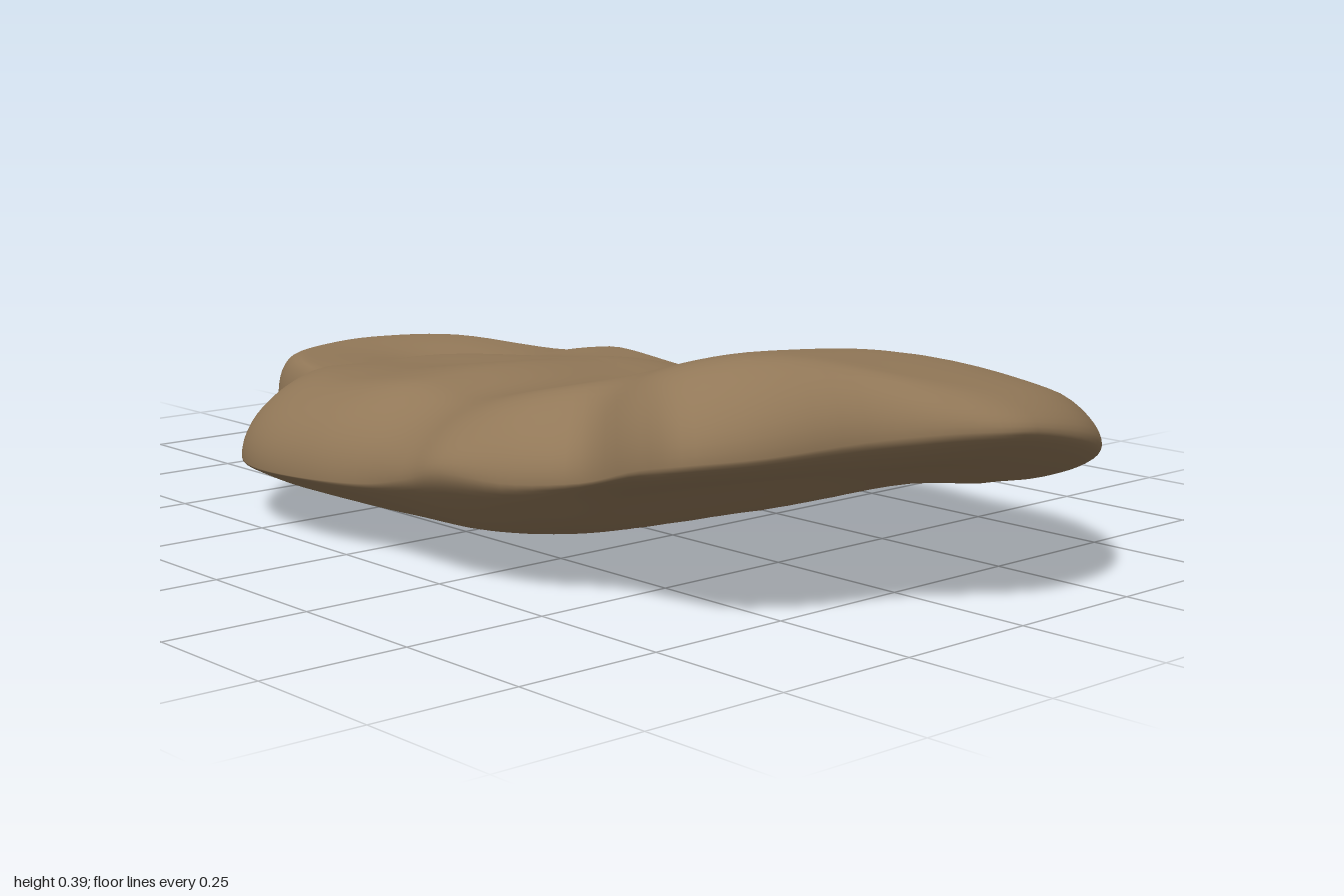
import * as THREE from 'three';
import { mergeVertices } from 'three/addons/utils/BufferGeometryUtils.js';

const V = (x, y, z) => new THREE.Vector3(x, y, z);
const { smoothstep } = THREE.MathUtils;

// smooth interpolation through [position, value] pairs
function ramp(points, x) {
  if (x <= points[0][0]) return points[0][1];
  for (let i = 1; i < points.length; i++) {
    const [x0, v0] = points[i - 1], [x1, v1] = points[i];
    if (x <= x1) {
      const t = (x - x0) / (x1 - x0);
      const slope = (a, b) => (b[1] - a[1]) / (b[0] - a[0]);
      const m0 = i > 1 ? slope(points[i - 2], points[i]) : slope(points[0], points[1]);
      const m1 = i < points.length - 1 ? slope(points[i - 1], points[i + 1]) : slope(points[i - 1], points[i]);
      const d = x1 - x0, t2 = t * t, t3 = t2 * t;
      return (2 * t3 - 3 * t2 + 1) * v0 + (t3 - 2 * t2 + t) * d * m0 + (3 * t2 - 2 * t3) * v1 + (t3 - t2) * d * m1;
    }
  }
  return points[points.length - 1][1];
}
const bump = (x, z, cx, cz, rx, rz) => Math.exp(-(((x - cx) / rx) ** 2) - ((z - cz) / rz) ** 2);

// rim of the slab: x, height, z
const RIM = [
  [1, 0.29, -0.02], [0.98, 0.26, -0.16], [0.92, 0.225, -0.28], [0.81, 0.185, -0.4], [0.63, 0.165, -0.48],
  [0.45, 0.155, -0.51], [0.3, 0.15, -0.53], [0.12, 0.15, -0.52], [0, 0.145, -0.48], [-0.2, 0.14, -0.485],
  [-0.38, 0.14, -0.49], [-0.6, 0.135, -0.52], [-0.78, 0.13, -0.46], [-0.93, 0.125, -0.38], [-1, 0.12, -0.25],
  [-0.97, 0.12, -0.1], [-0.9, 0.11, 0.02], [-0.82, 0.1, 0.08], [-0.67, 0.095, 0.14], [-0.57, 0.095, 0.23],
  [-0.47, 0.1, 0.36], [-0.37, 0.105, 0.46], [-0.25, 0.11, 0.51], [-0.08, 0.12, 0.52], [0.05, 0.13, 0.5],
  [0.18, 0.16, 0.515], [0.29, 0.19, 0.53], [0.42, 0.19, 0.5], [0.52, 0.2, 0.445], [0.65, 0.24, 0.45],
  [0.74, 0.26, 0.44], [0.81, 0.27, 0.36], [0.88, 0.285, 0.2], [0.95, 0.295, 0.11], [0.99, 0.295, 0.04],
];

const CREST = [[-1, 0.185], [-0.9, 0.192], [-0.6, 0.192], [-0.4, 0.237], [-0.2, 0.257], [0, 0.285], [0.13, 0.273],
  [0.25, 0.29], [0.4, 0.325], [0.55, 0.365], [0.7, 0.393], [0.85, 0.378], [1, 0.345]];
const BACK_FALL = [[-0.53, 0.19], [-0.4, 0.135], [-0.2, 0.06], [0, 0.018], [0.2, 0], [0.35, 0.005], [0.45, 0.03], [0.53, 0.05]];
const BELLY = [[-1, 0.08], [-0.85, 0.05], [-0.7, 0.015], [-0.5, 0.004], [-0.2, 0.012], [0.1, 0.018], [0.3, 0.035],
  [0.4, 0.07], [0.55, 0.155], [0.75, 0.2], [0.9, 0.23], [1, 0.255]];
const KEEL = [[-0.53, 0.11], [-0.45, 0.065], [-0.35, 0.026], [-0.2, 0], [0, 0.004], [0.2, 0.014], [0.3, 0.025],
  [0.4, 0.045], [0.53, 0.09]];
const LOBE_TILT = [[-0.53, -0.1], [-0.3, -0.06], [0, 0], [0.2, 0.012], [0.45, 0.025]];

// upper face: raised to the front and left, dished behind
function topHeight(x, z) {
  const tilt = 0.05 + 0.95 * smoothstep(x, -0.8, 0.6);
  return ramp(CREST, x) - ramp(BACK_FALL, z) * tilt
    - 0.02 * bump(x, z, -0.6, -0.22, 0.25, 0.12) - 0.012 * bump(x, z, 0.22, -0.05, 0.12, 0.25)
    - 0.025 * bump(x, z, 0.5, 0.43, 0.07, 0.09) + 0.012 * bump(x, z, 0.33, 0.45, 0.1, 0.07)
    + 0.004 * Math.sin(9 * x + 4 * z) * Math.sin(13 * z - 3 * x);
}

// underside: keeled belly, stepping up beneath the thinner raised lobe
function bottomHeight(x, z) {
  const lobe = smoothstep(x, 0.3, 0.6);
  return ramp(BELLY, x) + THREE.MathUtils.lerp(ramp(KEEL, z), ramp(LOBE_TILT, z), lobe);
}

function slabGeometry(sides = 160, rings = 28) {
  const curve = new THREE.CatmullRomCurve3(RIM.map((p) => V(...p)), true);
  const rim = curve.getPoints(sides).slice(0, sides);
  const cx = 0.05, cz = -0.05;
  const positions = [], index = [];
  // rings run from the middle of the top, round the rim, to the middle of the bottom
  for (let j = 0; j <= rings * 2; j++) {
    const t = j === 0 || j === rings * 2 ? 0 : Math.sin((j / rings) * Math.PI / 2);
    const isTop = j <= rings;
    for (const p of rim) {
      const x = cx + (p.x - cx) * t, z = cz + (p.z - cz) * t;
      const inset = (1 - t) * Math.hypot(p.x - cx, p.z - cz);
      const width = isTop ? 0.08 + 0.08 * smoothstep(p.z, 0.15, 0.45) : 0.14;
      const k = Math.min(inset / width, 1);
      const roundness = Math.sqrt(1 - (1 - k) ** 2);
      const face = isTop ? Math.max(topHeight(x, z), p.y * t) : bottomHeight(x, z);
      positions.push(x, p.y + (face - p.y) * roundness, z);
    }
  }
  for (let j = 0; j < rings * 2; j++) {
    for (let i = 0; i < sides; i++) {
      const n = (i + 1) % sides;
      const a = j * sides + i, b = j * sides + n, c = a + sides, d = b + sides;
      if (j < rings * 2 - 1) index.push(a, c, d);
      if (j > 0) index.push(a, d, b);
    }
  }
  const geometry = new THREE.BufferGeometry();
  geometry.setAttribute('position', new THREE.Float32BufferAttribute(positions, 3));
  geometry.setIndex(index);
  const merged = mergeVertices(geometry, 1e-5);
  merged.computeBoundingBox();
  merged.translate(0, -merged.boundingBox.min.y, 0);
  merged.computeVertexNormals();
  return merged;
}

export function createModel() {
  const stone = new THREE.MeshStandardMaterial({ color: 0x927858 });
  stone.name = 'brown stone';
  const slab = new THREE.Mesh(slabGeometry(), stone);
  slab.name = 'rockSlab';
  const model = new THREE.Group();
  model.name = 'flatRock';
  model.add(slab);
  return model;
}
